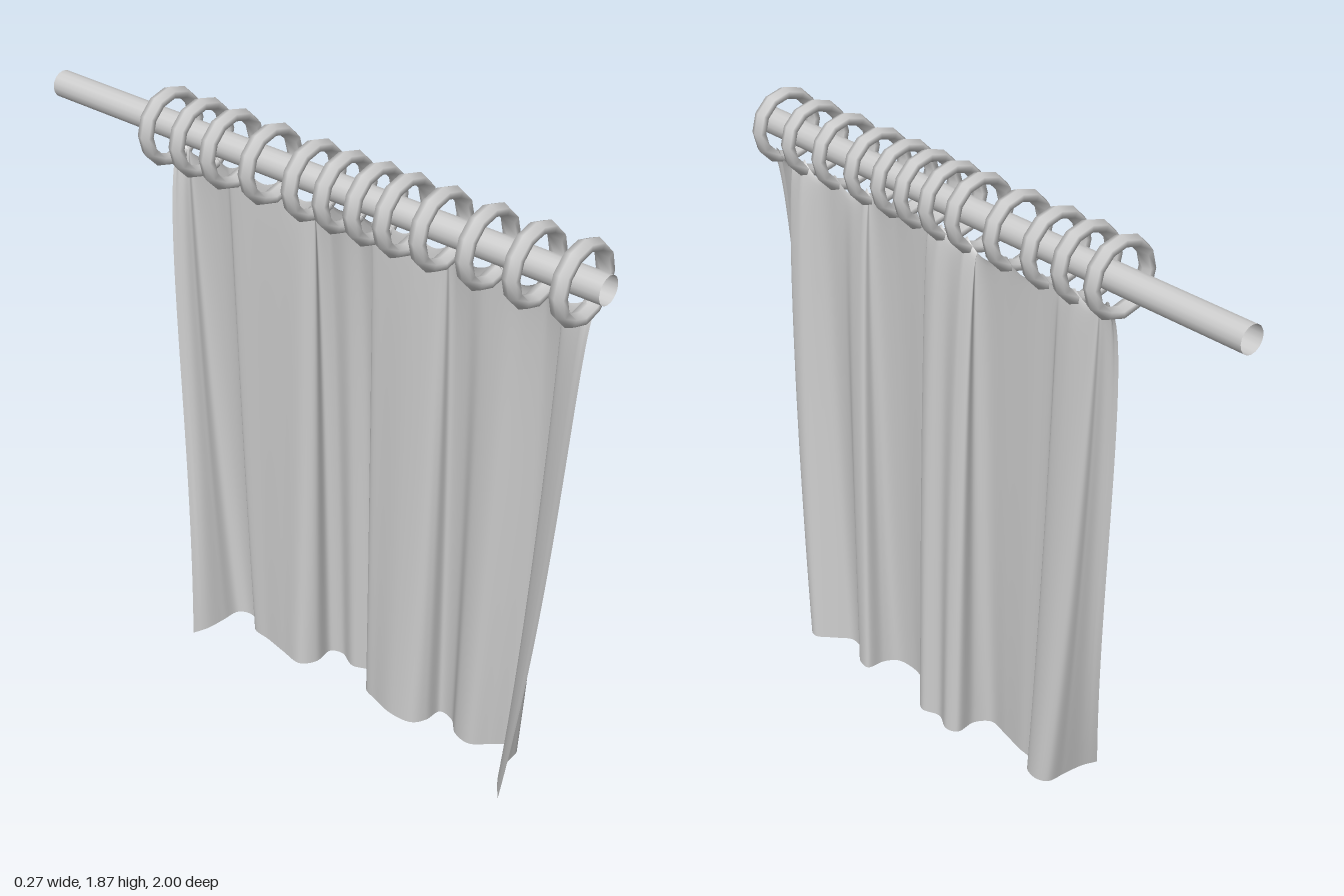
import * as THREE from 'three';

const RING_Z = [0.926, 0.78, 0.63, 0.477, 0.353, 0.25, 0.14, 0.027, -0.134, -0.285, -0.405, -0.53];
const AXIS_Y = 1.76;

// Folded bottom hem seen from above, as [x, z]
const HEM = [
  [-0.085, 0.825], [-0.035, 0.785], [0.02, 0.755], [0.08, 0.749], [0.122, 0.742], [0.131, 0.71],
  [0.09, 0.66], [0.05, 0.61], [0.06, 0.55], [0.105, 0.5], [0.11, 0.45], [0.05, 0.442],
  [0.01, 0.415], [0.0, 0.34], [0.02, 0.26], [0.04, 0.205], [0.1, 0.19], [0.12, 0.155],
  [0.1, 0.095], [0.127, 0.03], [0.11, -0.008], [0.04, -0.006], [-0.005, -0.04], [0.005, -0.12],
  [0.02, -0.2], [0.03, -0.27], [0.068, -0.29], [0.08, -0.345], [0.06, -0.378],
  [0.0, -0.384], [-0.07, -0.392], [-0.12, -0.41],
];

// The cloth widens towards the rings, mostly at its two outer ends
function spreadZ(z, amount) {
  const u = (z - 0.2) / 0.62;
  return z + amount * (u > 0 ? 0.118 * u * u : 0.143 * u * u * u);
}

// Height of the top edge: pinned up at each ring, sagging between them
function topHeight(z) {
  for (let i = 0; i < RING_Z.length - 1; i++) {
    const a = RING_Z[i], b = RING_Z[i + 1];
    if (z <= a && z >= b) {
      const sag = Math.sin(Math.PI * (a - z) / (a - b));
      return 1.705 - Math.min(0.055, 0.3 * (a - b)) * Math.pow(Math.max(0, sag), 0.7);
    }
  }
  return 1.67;
}

function curtainGeometry() {
  const cols = 240, rows = 36;
  const hem = new THREE.CatmullRomCurve3(HEM.map(([x, z]) => new THREE.Vector3(x, 0, z)));
  const geo = new THREE.PlaneGeometry(1, 1, cols, rows);
  const pos = geo.attributes.position;
  for (let i = 0; i <= cols; i++) {
    const p = hem.getPoint(i / cols);
    const top = topHeight(spreadZ(p.z, 1));
    for (let j = 0; j <= rows; j++) {
      // rows crowd towards the top, where the folds close quickly
      const t = 1 - Math.pow(j / rows, 1.5);
      let depth = Math.sqrt(1 - t);
      if (p.x < 0.03) depth *= 1 - 1.2 * t * (1 - t);
      pos.setXYZ(j * (cols + 1) + i,
        0.03 + (p.x - 0.03) * depth,
        0.01 + (top - 0.01) * t,
        spreadZ(p.z, t * (1.5 - 0.5 * t)));
    }
  }
  geo.computeVertexNormals();
  return geo;
}

export function createModel() {
  const group = new THREE.Group();
  const grey = new THREE.MeshStandardMaterial({ color: 0xcccccc });
  const thin = new THREE.MeshStandardMaterial({ color: 0xcccccc, side: THREE.DoubleSide });

  // Hollow rod
  const rod = new THREE.Mesh(
    new THREE.CylinderGeometry(0.042, 0.042, 2, 16, 1, true).rotateX(Math.PI / 2), thin);
  rod.name = 'rod';
  rod.position.set(-0.005, AXIS_Y, 0);
  group.add(rod);

  // Rings hung along the rod
  const rings = new THREE.Group();
  rings.name = 'rings';
  const ringGeo = new THREE.TorusGeometry(0.103, 0.019, 6, 12).scale(1, 1, 1.4);
  for (const z of RING_Z) {
    const ring = new THREE.Mesh(ringGeo, grey);
    ring.name = 'ring';
    ring.position.set(-0.014, AXIS_Y, z);
    rings.add(ring);
  }
  group.add(rings);

  // Draped cloth
  const curtain = new THREE.Mesh(curtainGeometry(), thin);
  curtain.name = 'curtain';
  group.add(curtain);

  return group;
}
